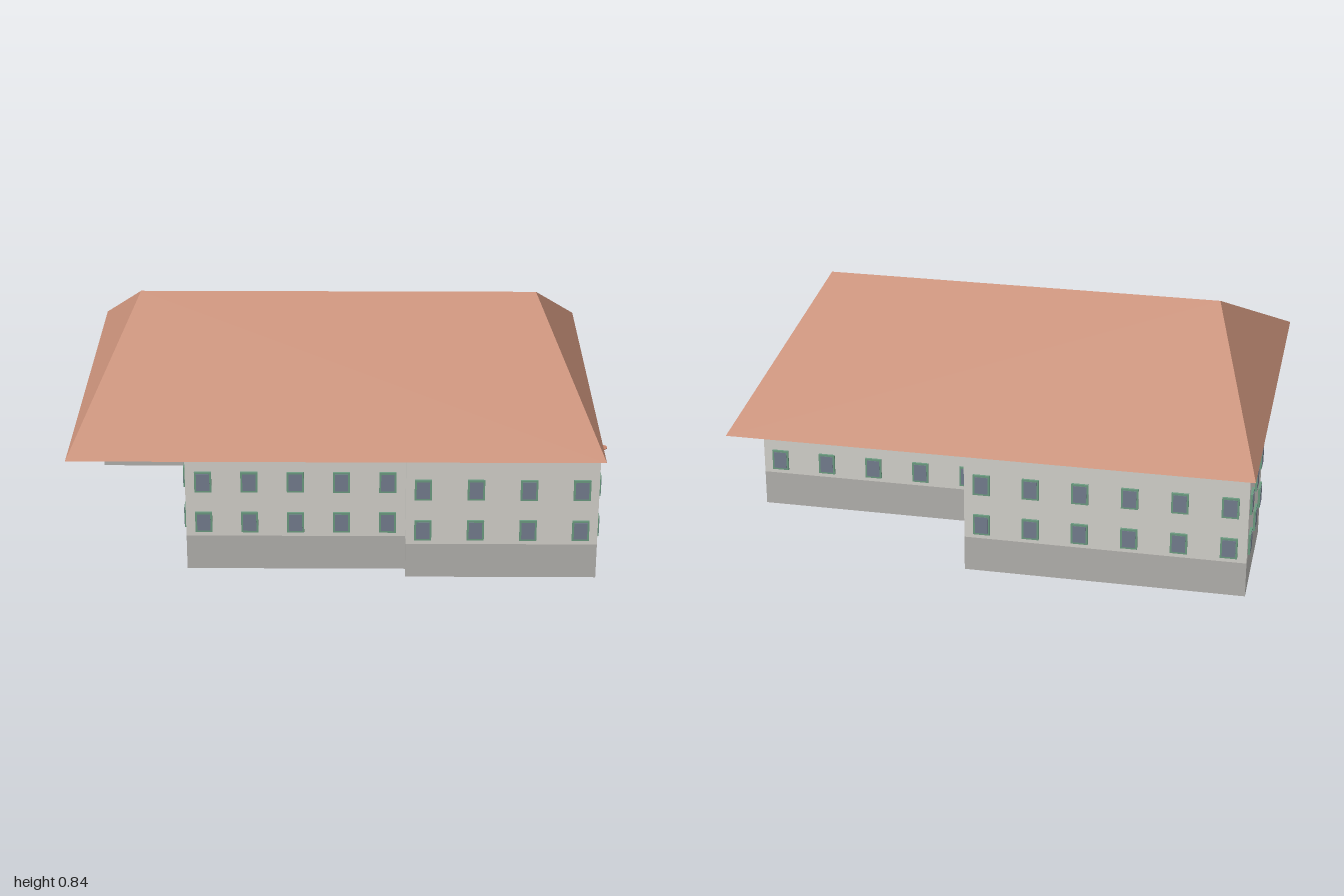
import * as THREE from 'three';
import { ConvexGeometry } from 'three/addons/geometries/ConvexGeometry.js';

function mat(name, color) {
  const m = new THREE.MeshStandardMaterial({ color });
  m.name = name;
  return m;
}

const EAVES = 0.468, PLINTH = 0.135;

// Footprint corners (x, z), each followed by the window count and inset of the wall that starts there
const PLAN = [
  [0.915, 0.71, 7, 0.065], [0.915, -0.35, 5, 0.065], [0.05, -0.35, 2, 0.067],
  [0.05, -0.71, 6, 0.065], [-0.98, -0.71, 3, 0.065], [-0.98, -0.22, 2, 0.097],
  [-0.58, -0.22, 5, 0.065], [-0.58, 0.65, 5, 0.065], [0.22, 0.65, 0, 0], [0.22, 0.71, 4, 0.062],
];

export function createModel() {
  const model = new THREE.Group();
  model.name = 'house';

  const wall = mat('wall plaster', 0xd2d0ca);
  const plinthGrey = mat('plinth grey', 0xb1b0ac);
  const tile = mat('roof tile', 0xc9917a);
  const frame = mat('window frame green', 0x6b9a80);
  const glass = mat('window glass', 0x737c8d);
  const doorMat = mat('door', 0xc4846c);
  const dark = mat('dark metal', 0x454a58);

  const add = (parent, name, geometry, material, x = 0, y = 0, z = 0) => {
    const mesh = new THREE.Mesh(geometry, material);
    mesh.name = name;
    mesh.position.set(x, y, z);
    parent.add(mesh);
    return mesh;
  };

  // Plinth and walls, extruded upward from the footprint
  const shape = new THREE.Shape(PLAN.map(([x, z]) => new THREE.Vector2(x, -z)));
  const storey = (name, y0, y1, material) => {
    const g = new THREE.ExtrudeGeometry(shape, { depth: y1 - y0, bevelEnabled: false });
    g.rotateX(-Math.PI / 2);
    add(model, name, g, material, 0, y0, 0);
  };
  storey('plinth', 0, PLINTH, plinthGrey);
  storey('walls', PLINTH, EAVES - 0.001, wall);

  // Hipped roof with a closed soffit
  const roofPoints = [
    [-1, EAVES, 0.722], [0.935, EAVES, 0.722], [0.935, EAVES, -0.725], [-1, EAVES, -0.725],
    [-0.78, 0.842, 0], [0.72, 0.842, 0],
  ].map((p) => new THREE.Vector3(...p));
  add(model, 'roof', new ConvexGeometry(roofPoints), tile);

  // Two rows of windows along every wall
  const frameGeo = new THREE.BoxGeometry(0.062, 0.08, 0.016);
  const glassGeo = new THREE.BoxGeometry(0.048, 0.066, 0.004);
  PLAN.forEach(([ax, az, count, inset], i) => {
    const [bx, bz] = PLAN[(i + 1) % PLAN.length];
    const length = Math.hypot(bx - ax, bz - az);
    const dx = (bx - ax) / length, dz = (bz - az) / length;
    for (let k = 0; k < count; k++) {
      const t = inset + (k * (length - 2 * inset)) / (count - 1);
      for (const y of [0.193, 0.355]) {
        const win = new THREE.Group();
        win.name = 'window';
        win.position.set(ax + dx * t, y, az + dz * t);
        win.rotation.y = Math.atan2(-dz, dx);
        add(win, 'windowFrame', frameGeo, frame);
        add(win, 'windowGlass', glassGeo, glass, 0, 0, 0.0075);
        model.add(win);
      }
    }
  });

  // Entrance door with a small bar and disc hanging in front of it
  add(model, 'door', new THREE.BoxGeometry(0.018, 0.13, 0.076), doorMat, 0.915, 0.175, 0.178);
  add(model, 'signBar', new THREE.BoxGeometry(0.003, 0.008, 0.065), dark, 0.952, 0.305, 0.178);
  add(model, 'lampDisc', new THREE.CylinderGeometry(0.021, 0.021, 0.003, 20), doorMat, 0.978, 0.274, 0.178);

  return model;
}
